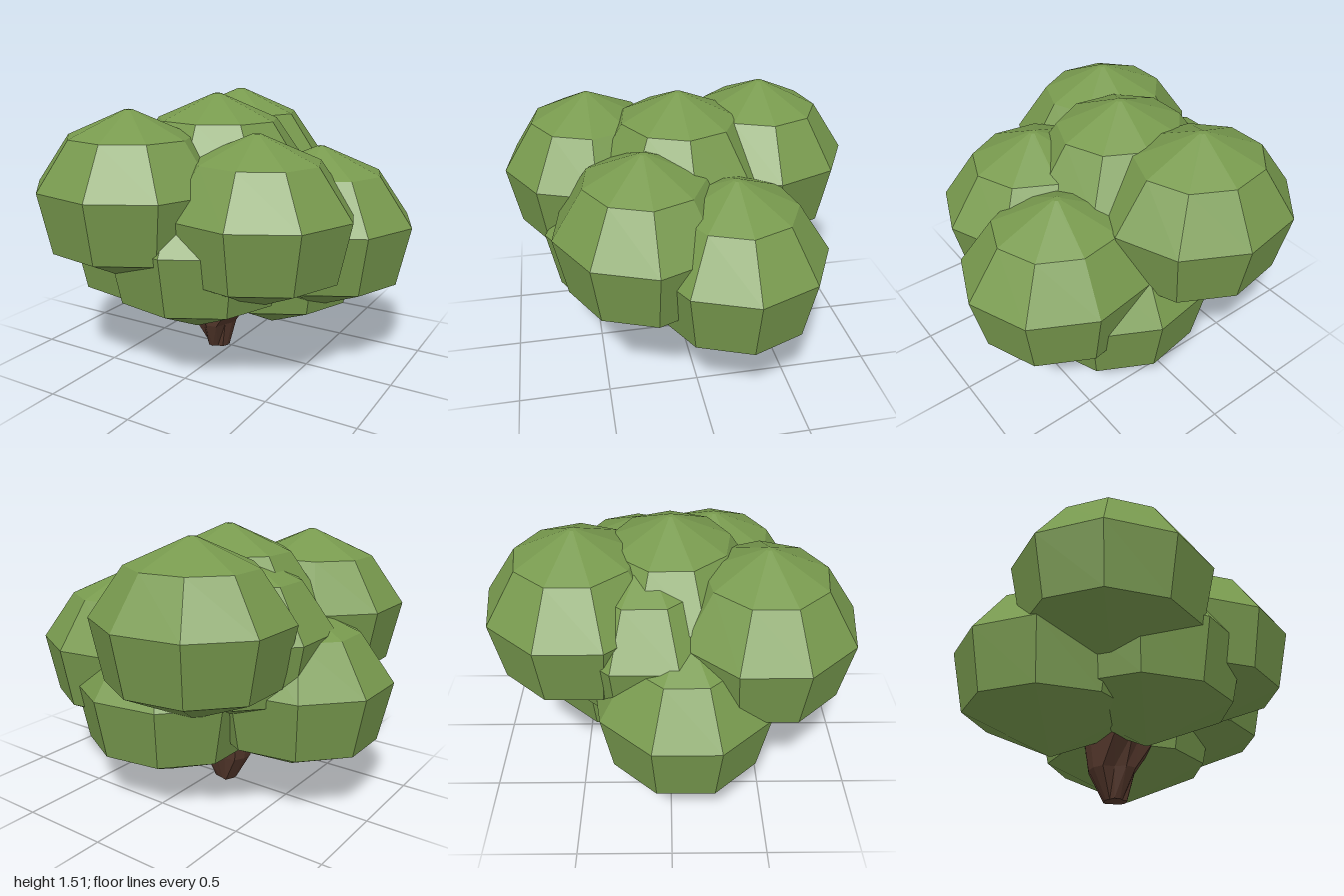
import * as THREE from 'three';

// Nine-sided leaf clump, hung from its apex and a little wider in x than in z
function clumpGeometry() {
  const profile = [
    [0, -0.94], [0.02, -0.94], [0.87, -0.73], [1, -0.4], [0.65, -0.14], [0.04, 0], [0, 0],
  ].map(([r, y]) => new THREE.Vector2(r, y));
  return new THREE.LatheGeometry(profile, 9, Math.PI / 2).scale(0.54, 1, 0.495);
}

// Trunk with ridges, flaring upwards into the crown
function trunkGeometry() {
  const geo = new THREE.CylinderGeometry(0.29, 0.07, 0.48, 14, 3).translate(0, 0.24, 0);
  const pos = geo.attributes.position;
  for (let i = 0; i < pos.count; i++) {
    const x = pos.getX(i), z = pos.getZ(i);
    const rib = Math.round(Math.atan2(z, x) / (Math.PI / 7));
    const k = rib % 2 ? 0.78 : 1; // alternate ridge and groove
    pos.setX(i, x * k);
    pos.setZ(i, z * k);
  }
  return geo;
}

export function createModel() {
  const tree = new THREE.Group();
  tree.name = 'tree';
  const leaf = new THREE.MeshStandardMaterial({ color: 0x789a4e, flatShading: true });
  leaf.name = 'leaf green';
  const bark = new THREE.MeshStandardMaterial({ color: 0x55382c, flatShading: true });
  bark.name = 'bark brown';

  const trunk = new THREE.Mesh(trunkGeometry(), bark);
  trunk.name = 'trunk';
  trunk.position.set(-0.09, 0, 0);
  tree.add(trunk);

  // Apex position of every leaf clump
  const clumps = {
    centreClump: [-0.09, 1.51, 0],
    backClump: [-0.22, 1.5, -0.49],
    frontClump: [-0.34, 1.45, 0.48],
    frontLeftClump: [0.3, 1.34, 0.25],
    leftClump: [0.46, 1.23, -0.2],
    innerClump: [-0.24, 1.39, -0.13],
    lowRightClump: [-0.49, 1.11, 0.07],
    lowFrontClump: [-0.05, 1.17, 0.29],
    lowBackClump: [0.13, 1.03, -0.28],
  };
  const geo = clumpGeometry();
  for (const [name, apex] of Object.entries(clumps)) {
    const clump = new THREE.Mesh(geo, leaf);
    clump.name = name;
    clump.position.set(...apex);
    tree.add(clump);
  }
  return tree;
}
